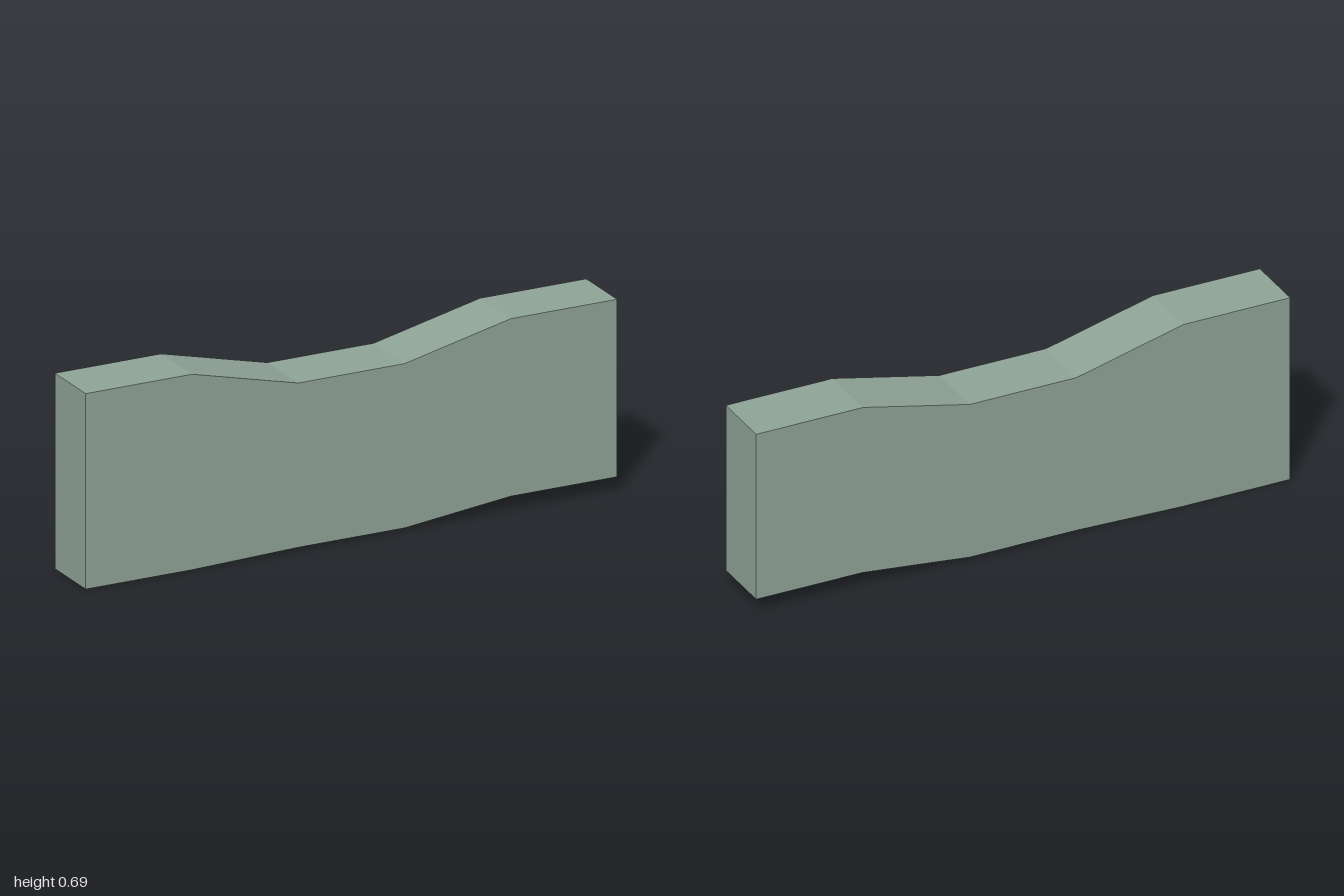
import * as THREE from 'three';

export function createModel() {
  const model = new THREE.Group();
  const sage = new THREE.MeshStandardMaterial({ color: 0x8fa396 });
  sage.name = 'sage green';

  // Side outline: a slab with a dipped top and a stepped underside
  const outline = [
    [-1, 0], [-0.6, 0], [-0.2, 0.011], [0.2, 0.011], [0.6, 0.055], [1, 0.055],
    [1, 0.686], [0.6, 0.686], [0.2, 0.595], [-0.2, 0.595], [-0.6, 0.695], [-1, 0.695],
  ];
  const shape = new THREE.Shape(outline.map(([x, y]) => new THREE.Vector2(x, y)));

  // Extrude to the slab's thickness, centred on z
  const depth = 0.222;
  const geometry = new THREE.ExtrudeGeometry(shape, { depth, bevelEnabled: false });
  geometry.translate(0, 0, -depth / 2);

  const slab = new THREE.Mesh(geometry, sage);
  slab.name = 'dippedSlab';
  model.add(slab);
  return model;
}
